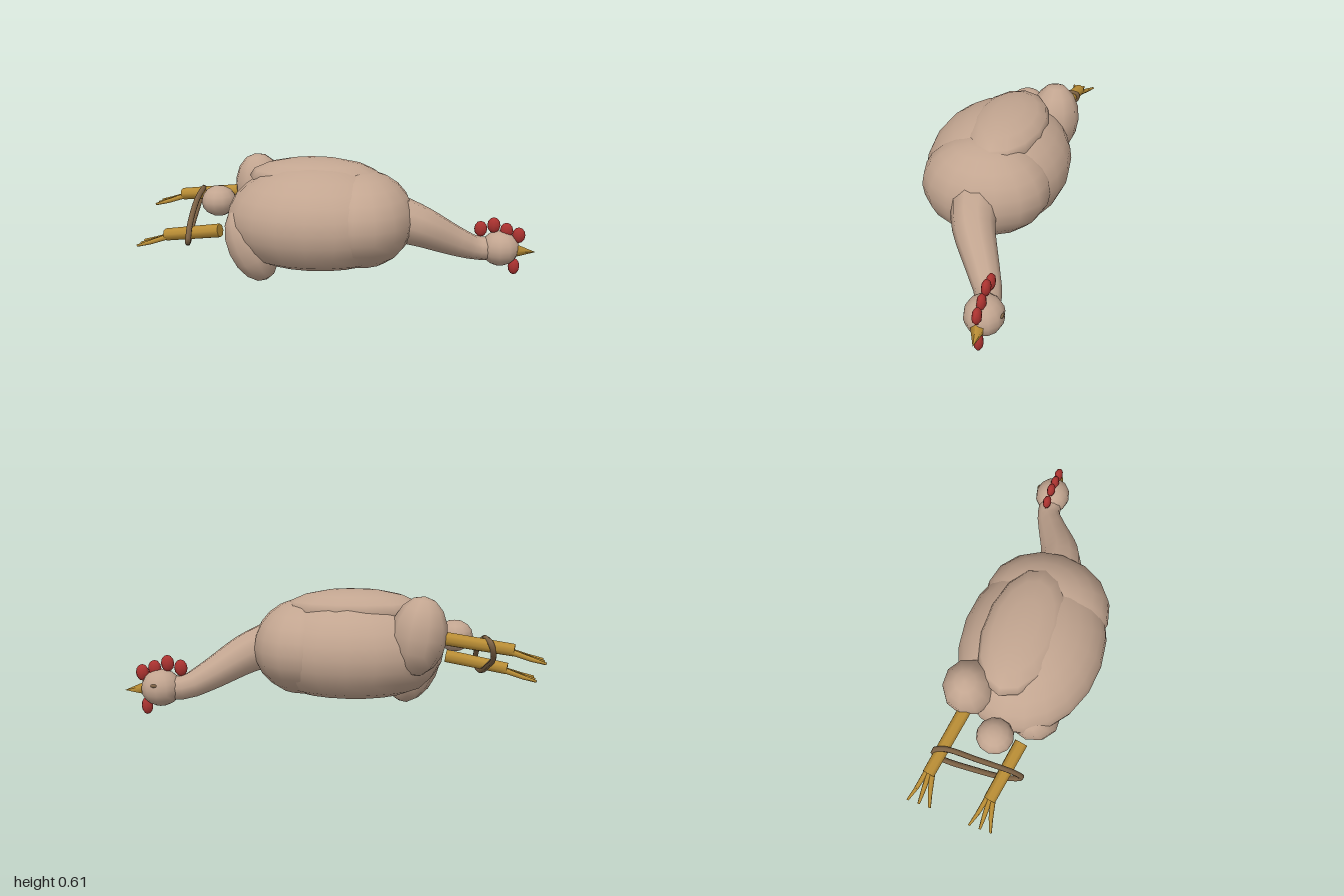
import * as THREE from 'three';

const mat = (name, color) => {
  const m = new THREE.MeshStandardMaterial({ color });
  m.name = name;
  return m;
};

export function createModel() {
  const group = new THREE.Group();
  const skin = mat('skin', 0xc2a590);
  const red = mat('comb red', 0xac3330);
  const yellow = mat('leg yellow', 0xb98d35);
  const rope = mat('rope brown', 0x7e6346);
  const V = (p) => new THREE.Vector3(...p);

  const add = (name, geometry, material) => {
    const mesh = new THREE.Mesh(geometry, material);
    mesh.name = name;
    group.add(mesh);
    return mesh;
  };

  // Smooth low-poly ellipsoid, optionally flattened below a floor height
  const blob = (name, c, r, material, rot = [0, 0, 0], ws = 12, hs = 8, floor = -1) => {
    const g = new THREE.SphereGeometry(1, ws, hs);
    g.scale(...r);
    g.rotateX(rot[0]).rotateY(rot[1]).rotateZ(rot[2]);
    g.translate(...c);
    const p = g.attributes.position;
    for (let i = 0; i < p.count; i++) p.setY(i, Math.max(p.getY(i), floor));
    return add(name, g, material);
  };

  // Tapered round rod between two points
  const rod = (name, a, b, ra, rb, material, sides = 8) => {
    const d = V(b).sub(V(a));
    const g = new THREE.CylinderGeometry(rb, ra, d.length(), sides);
    g.applyQuaternion(new THREE.Quaternion().setFromUnitVectors(V([0, 1, 0]), d.clone().normalize()));
    const m = V(a).add(V(b)).multiplyScalar(0.5);
    g.translate(m.x, m.y, m.z);
    return add(name, g, material);
  };

  // Body, chest, breast and tail
  blob('body', [-0.09, 0.31, 0], [0.455, 0.28, 0.355], skin, [0, 0, 0], 20, 14, 0.107);
  blob('chest', [0.13, 0.32, 0], [0.265, 0.24, 0.318], skin, [0, 0, 0], 16, 12, 0.107);
  blob('breast', [-0.105, 0.515, -0.04], [0.335, 0.098, 0.19], skin, [0, 0, 0], 14, 8);
  blob('tail', [-0.595, 0.385, -0.005], [0.088, 0.077, 0.09], skin, [0, 0, 0], 12, 8);

  // Thighs
  blob('rightThigh', [-0.42, 0.41, -0.195], [0.135, 0.19, 0.13], skin, [0, 0, 0.15], 10, 8);
  blob('leftThigh', [-0.4, 0.2, 0.12], [0.12, 0.195, 0.13], skin, [0, 0, 0.4], 10, 8);

  // Neck: a tube whose rings taper toward the head
  const neckPath = new THREE.CatmullRomCurve3(
    [[0.3, 0.33, 0], [0.42, 0.285, -0.03], [0.6, 0.185, -0.135], [0.7, 0.14, -0.19], [0.82, 0.135, -0.21]].map(V));
  const rings = 12, sides = 10;
  const neck = new THREE.TubeGeometry(neckPath, rings, 1, sides, false);
  const np = neck.attributes.position;
  const v = new THREE.Vector3();
  for (let i = 0; i <= rings; i++) {
    const c = neckPath.getPointAt(i / rings);
    const r = THREE.MathUtils.lerp(0.118, 0.06, Math.min(1, (i / rings) * 1.25));
    for (let j = 0; j <= sides; j++) {
      const k = i * (sides + 1) + j;
      v.fromBufferAttribute(np, k).sub(c).multiplyScalar(r).add(c);
      np.setXYZ(k, v.x, v.y, v.z);
    }
  }
  add('neck', neck, skin);

  // Head, beak, eye, comb and wattle
  blob('head', [0.82, 0.138, -0.21], [0.098, 0.09, 0.091], skin, [0, 0, 0], 12, 10);
  rod('beak', [0.9, 0.13, -0.208], [1, 0.122, -0.218], 0.034, 0, yellow, 5);
  blob('eye', [0.83, 0.163, -0.292], [0.018, 0.009, 0.009], rope, [0, 0, 0], 8, 6);
  [[0.72, 0.237], [0.785, 0.258], [0.85, 0.232], [0.912, 0.21]].forEach(([x, y], i) =>
    blob('combLobe' + (i + 1), [x, y, -0.208], [0.033, 0.041, 0.022], red, [0, 0, 0], 8, 6));
  blob('wattle', [0.894, 0.045, -0.208], [0.029, 0.043, 0.022], red, [0, 0, 0], 8, 6);

  // Shanks with three two-part toes each
  const leg = (side, hip, ankle) => {
    rod(side + 'Shank', hip, ankle, 0.034, 0.031, yellow, 8);
    const [x, y, z] = ankle;
    for (const s of [-1, 0, 1]) {
      const root = [x + 0.02, y - 0.005, z + s * 0.012];
      const knuckle = [x - 0.075, y - 0.035, z + s * 0.034];
      const tip = [-0.998, y - 0.05, z + s * 0.055];
      rod(side + 'Toe', root, knuckle, 0.014, 0.011, yellow, 6);
      rod(side + 'ToeTip', knuckle, tip, 0.011, 0.006, yellow, 6);
    }
  };
  leg('right', [-0.5, 0.405, -0.175], [-0.86, 0.36, -0.235]);
  leg('left', [-0.56, 0.26, 0.11], [-0.86, 0.212, 0.057]);

  // Rope loop binding the legs together
  const loop = new THREE.CatmullRomCurve3(
    [[-0.735, 0.405, -0.2], [-0.725, 0.37, -0.04], [-0.71, 0.28, 0.13], [-0.71, 0.21, 0.165],
      [-0.73, 0.192, 0.1], [-0.755, 0.25, -0.06], [-0.768, 0.325, -0.22], [-0.755, 0.385, -0.25]].map(V), true);
  add('ropeLoop', new THREE.TubeGeometry(loop, 40, 0.014, 6, true), rope);

  return group;
}
